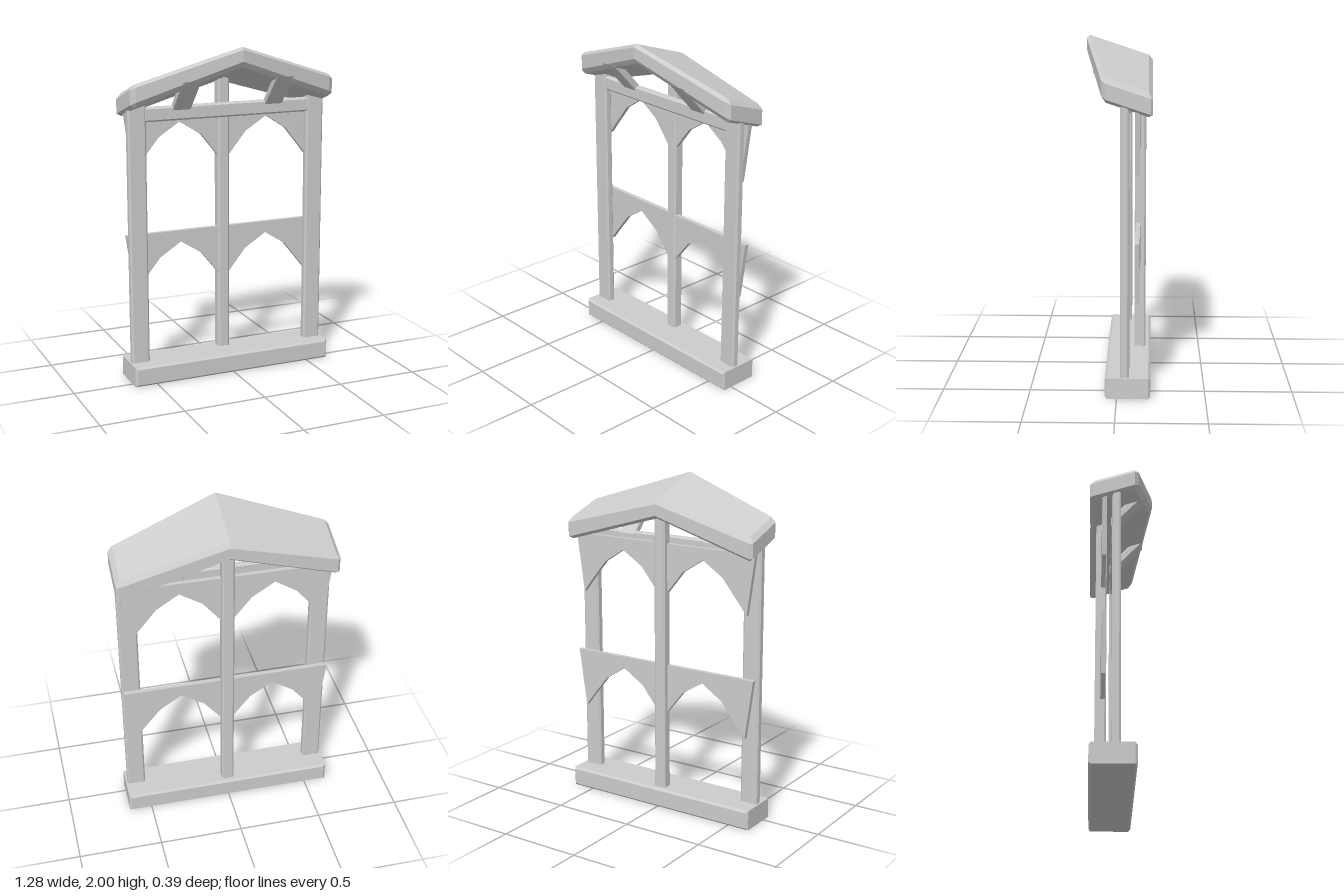
import * as THREE from 'three';

const stone = new THREE.MeshStandardMaterial({ color: 0xcccccc });
stone.name = 'stone grey';

function addMesh(group, name, geometry) {
  const mesh = new THREE.Mesh(geometry, stone);
  mesh.name = name;
  group.add(mesh);
  return mesh;
}

// Extrude an outline of [x, y] points between z0 and z1, with optional chamfered rims
function slab(points, z0, z1, bevel = 0) {
  const shape = new THREE.Shape(points.map(([x, y]) => new THREE.Vector2(x, y)));
  const geometry = new THREE.ExtrudeGeometry(shape, {
    depth: z1 - z0 - 2 * bevel,
    bevelEnabled: bevel > 0,
    bevelThickness: bevel,
    bevelSize: bevel,
    bevelOffset: -bevel,
    bevelSegments: 1,
  });
  return geometry.translate(0, 0, z0 + bevel);
}

function block(x0, x1, y0, y1, z0, z1, bevel = 0.01) {
  return slab([[x0, y0], [x1, y0], [x1, y1], [x0, y1]], z0, z1, bevel);
}

// Gabled canopy: four stacked rings of the same plan, pitched sideways and tilted back
function roofGeometry() {
  const outer = [[0, 0.19], [0.61, 0.083], [0.64, 0.06], [0.64, -0.185], [0.625, -0.198], [0, -0.198]];
  const inner = [[0, 0.17], [0.61, 0.061], [0.615, 0.058], [0.615, -0.173], [0.612, -0.175], [0, -0.175]];
  const top = (x, z) => 2 - 0.26 * x + (z - 0.17) / 3;
  const bottom = (x, z) => 1.885 - 0.29 * x + (z - 0.17) / 3;
  const rings = [
    inner.map(([x, z]) => [x, bottom(x, z), z]),
    outer.map(([x, z]) => [x, bottom(x, z) + 0.025, z]),
    outer.map(([x, z]) => [x, top(x, z) - 0.023, z]),
    inner.map(([x, z]) => [x, top(x, z), z]),
  ];
  const positions = [];
  for (const side of [1, -1]) {
    const tri = (a, b, c) => {
      for (const p of side > 0 ? [a, b, c] : [a, c, b]) positions.push(side * p[0], p[1], p[2]);
    };
    // Chamfers and rim
    for (let r = 0; r < 3; r++) {
      for (let i = 0; i < 5; i++) {
        const a = rings[r][i], b = rings[r][i + 1], c = rings[r + 1][i + 1], d = rings[r + 1][i];
        tri(a, b, c);
        tri(a, c, d);
      }
    }
    // Upper and lower slopes
    for (let i = 1; i < 5; i++) {
      tri(rings[3][0], rings[3][i], rings[3][i + 1]);
      tri(rings[0][0], rings[0][i + 1], rings[0][i]);
    }
  }
  const geometry = new THREE.BufferGeometry();
  geometry.setAttribute('position', new THREE.Float32BufferAttribute(positions, 3));
  geometry.computeVertexNormals();
  return geometry;
}

// Double pointed arch with slanted outer ends, measured from its top edge
function tracery(topY) {
  const half = [[0, -0.345], [0.037, -0.288], [0.145, -0.155], [0.28, -0.07], [0.412, -0.155], [0.518, -0.285], [0.572, -0.355], [0.622, 0]];
  const left = half.slice(1).map(([x, y]) => [-x, y]).reverse();
  return slab([...left, ...half].map(([x, y]) => [x, topY + y]), -0.127, -0.1);
}

export function createModel() {
  const model = new THREE.Group();
  model.name = 'archedWindowFrame';

  addMesh(model, 'base', block(-0.637, 0.637, 0, 0.12, -0.19, 0.067, 0.012));
  addMesh(model, 'roof', roofGeometry());

  // Uprights and top rail
  addMesh(model, 'leftPost', block(0.516, 0.627, 0.1, 1.68, -0.07, -0.02));
  addMesh(model, 'rightPost', block(-0.627, -0.516, 0.1, 1.68, -0.07, -0.02));
  addMesh(model, 'centrePost', block(-0.037, 0.037, 0.1, 1.81, -0.16, -0.093));
  addMesh(model, 'topRail', block(-0.53, 0.53, 1.57, 1.655, -0.068, -0.024));

  // Arched panels behind the side posts
  addMesh(model, 'lowerArches', tracery(0.89));
  addMesh(model, 'upperArches', tracery(1.62));

  // Sloping braces carrying the front of the canopy; profile is [-z, y]
  const profile = [[0.072, 1.578], [0.072, 1.64], [-0.06, 1.79], [-0.14, 1.81]];
  for (const [name, x] of [['leftBrace', 0.294], ['rightBrace', -0.294]]) {
    const brace = addMesh(model, name, slab(profile, -0.056, 0.056, 0.008));
    brace.rotation.y = Math.PI / 2;
    brace.position.x = x;
  }

  return model;
}
